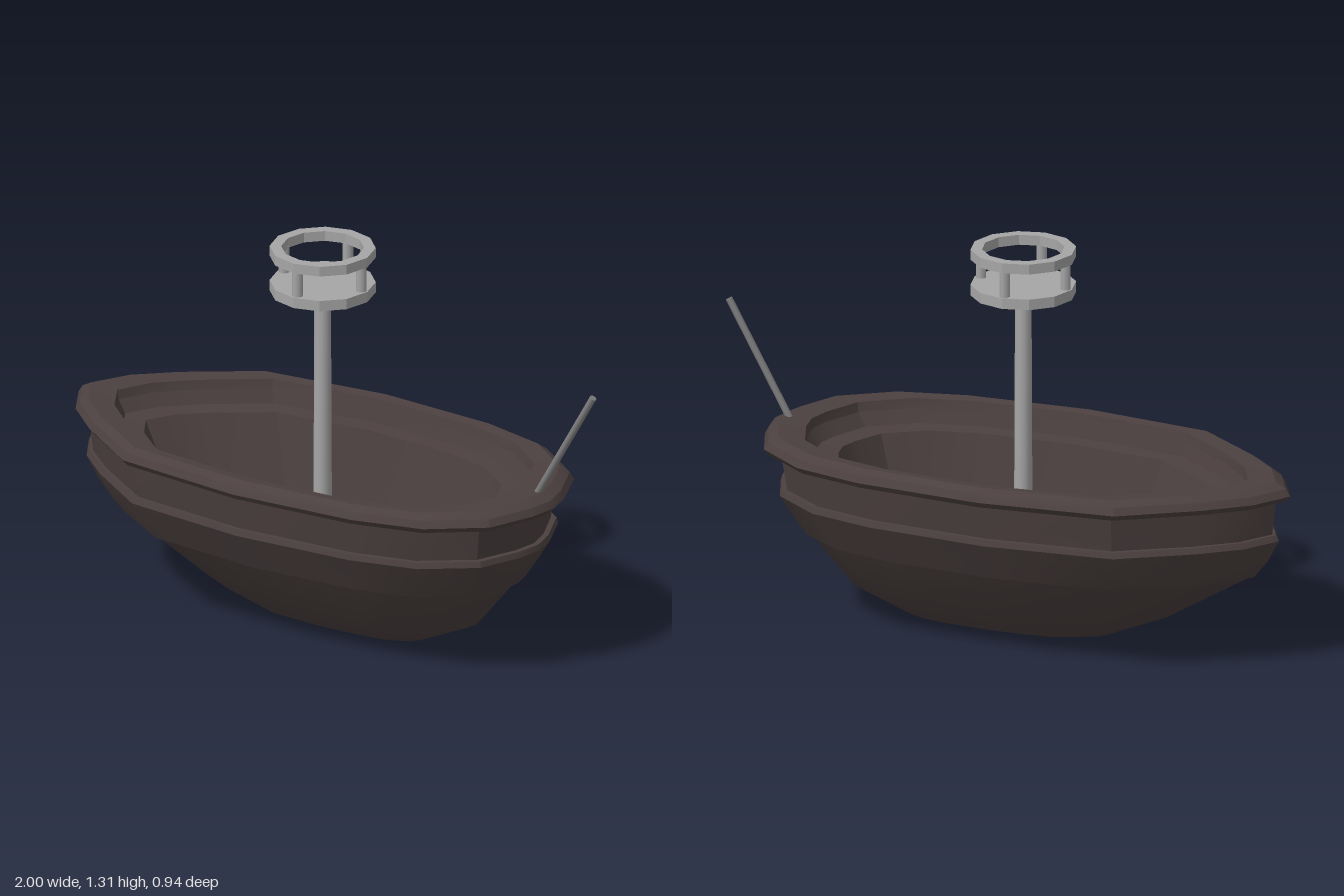
import * as THREE from 'three';
import { toCreasedNormals } from 'three/addons/utils/BufferGeometryUtils.js';

// Normalised half plan of the boat: pointed end at -x, blunt end at +x
const HALF = [[-1, 0], [-0.92, 0.28], [-0.78, 0.53], [-0.52, 0.89], [-0.02, 1],
  [0.46, 0.94], [0.72, 0.81], [0.91, 0.53], [0.98, 0.2], [1, 0]];
const PLAN = [...HALF, ...HALF.slice(1, -1).reverse().map(([u, w]) => [u, -w])];

// Loft through rings given as [y, xMin, xMax, halfWidth]
function loft(rings, crease) {
  const pos = [], index = [], n = PLAN.length;
  for (const [y, x0, x1, w] of rings) {
    for (const [u, v] of PLAN) pos.push((x0 + x1) / 2 + u * (x1 - x0) / 2, y, v * w);
  }
  for (let j = 0; j < rings.length - 1; j++) {
    for (let i = 0; i < n; i++) {
      const k = (i + 1) % n, a = j * n + i, b = j * n + k;
      index.push(a, b, b + n, a, b + n, a + n);
    }
  }
  const g = new THREE.BufferGeometry();
  g.setAttribute('position', new THREE.Float32BufferAttribute(pos, 3));
  g.setIndex(index);
  return toCreasedNormals(g, crease);
}

export function createModel() {
  const model = new THREE.Group();
  const wood = new THREE.MeshStandardMaterial({ color: 0x4b403f, side: THREE.DoubleSide });
  const grey = new THREE.MeshStandardMaterial({ color: 0xa6a6a6 });
  const dark = new THREE.MeshStandardMaterial({ color: 0x7c7c7c });
  const add = (name, geometry, material, parent = model) => {
    const mesh = new THREE.Mesh(geometry, material);
    mesh.name = name;
    parent.add(mesh);
    return mesh;
  };

  // Hull, from the keel upwards
  const boat = new THREE.Group();
  boat.name = 'boat';
  model.add(boat);
  add('lowerHull', loft([
    [0.002, -0.08, 0.08, 0.003], [0.011, -0.2, 0.2, 0.042], [0.032, -0.35, 0.36, 0.11],
    [0.12, -0.56, 0.545, 0.21], [0.3, -0.86, 0.69, 0.345],
  ], 0.7), wood, boat);
  add('sidePlanking', loft([
    [0.3, -0.85, 0.68, 0.34], [0.3, -0.87, 0.705, 0.355], [0.36, -0.92, 0.745, 0.39],
    [0.435, -0.96, 0.79, 0.435], [0.455, -0.95, 0.785, 0.43], [0.455, -0.935, 0.765, 0.41],
  ], 0.5), wood, boat);
  add('upperPlanking', loft([
    [0.445, -0.935, 0.765, 0.412], [0.58, -0.95, 0.785, 0.438],
  ], 0.4), wood, boat);
  add('rim', loft([
    [0.58, -0.94, 0.775, 0.43], [0.574, -0.98, 0.825, 0.455], [0.594, -1, 0.843, 0.47],
    [0.618, -0.985, 0.83, 0.458], [0.636, -0.95, 0.795, 0.437], [0.632, -0.85, 0.7, 0.4],
    [0.6, -0.845, 0.695, 0.392],
  ], 0.4), wood, boat);
  // Inside: short wall, narrow ledge, sloping sides and flat floor
  add('interior', loft([
    [0.6, -0.845, 0.695, 0.392], [0.555, -0.82, 0.665, 0.38], [0.55, -0.74, 0.59, 0.325],
    [0.2, -0.58, 0.48, 0.25], [0.2, -0.055, -0.045, 0.005],
  ], 0.4), wood, boat);

  // Mast with its round lookout
  const mast = new THREE.Group();
  mast.name = 'mastAndLookout';
  mast.position.set(-0.049, 0, 0.006);
  model.add(mast);
  const pole = toCreasedNormals(new THREE.CylinderGeometry(0.027, 0.031, 0.985, 12), 0.7);
  add('mast', pole, grey, mast).position.y = 0.685;
  const disc = toCreasedNormals(new THREE.CylinderGeometry(0.173, 0.173, 0.036, 12), 0.3);
  add('lookoutFloor', disc, grey, mast).position.y = 1.178;
  const ringProfile = [[0.135, 1.282], [0.173, 1.282], [0.173, 1.316], [0.135, 1.316], [0.135, 1.282]]
    .map(([r, y]) => new THREE.Vector2(r, y));
  add('lookoutRail', toCreasedNormals(new THREE.LatheGeometry(ringProfile, 12), 0.3), grey, mast);
  for (let i = 0; i < 4; i++) {
    const a = i * Math.PI / 2;
    add('railPost', new THREE.CylinderGeometry(0.018, 0.018, 0.095, 8), grey, mast)
      .position.set(0.15 * Math.cos(a), 1.239, 0.15 * Math.sin(a));
  }

  // Slanted pole at the blunt end
  const foot = new THREE.Vector3(0.767, 0.62, -0.014), tip = new THREE.Vector3(0.988, 1.01, -0.014);
  const dir = tip.clone().sub(foot);
  const staff = add('slantedPole', new THREE.CylinderGeometry(0.012, 0.012, dir.length(), 8), dark);
  staff.position.copy(foot).add(tip).multiplyScalar(0.5);
  staff.quaternion.setFromUnitVectors(new THREE.Vector3(0, 1, 0), dir.normalize());
  return model;
}
